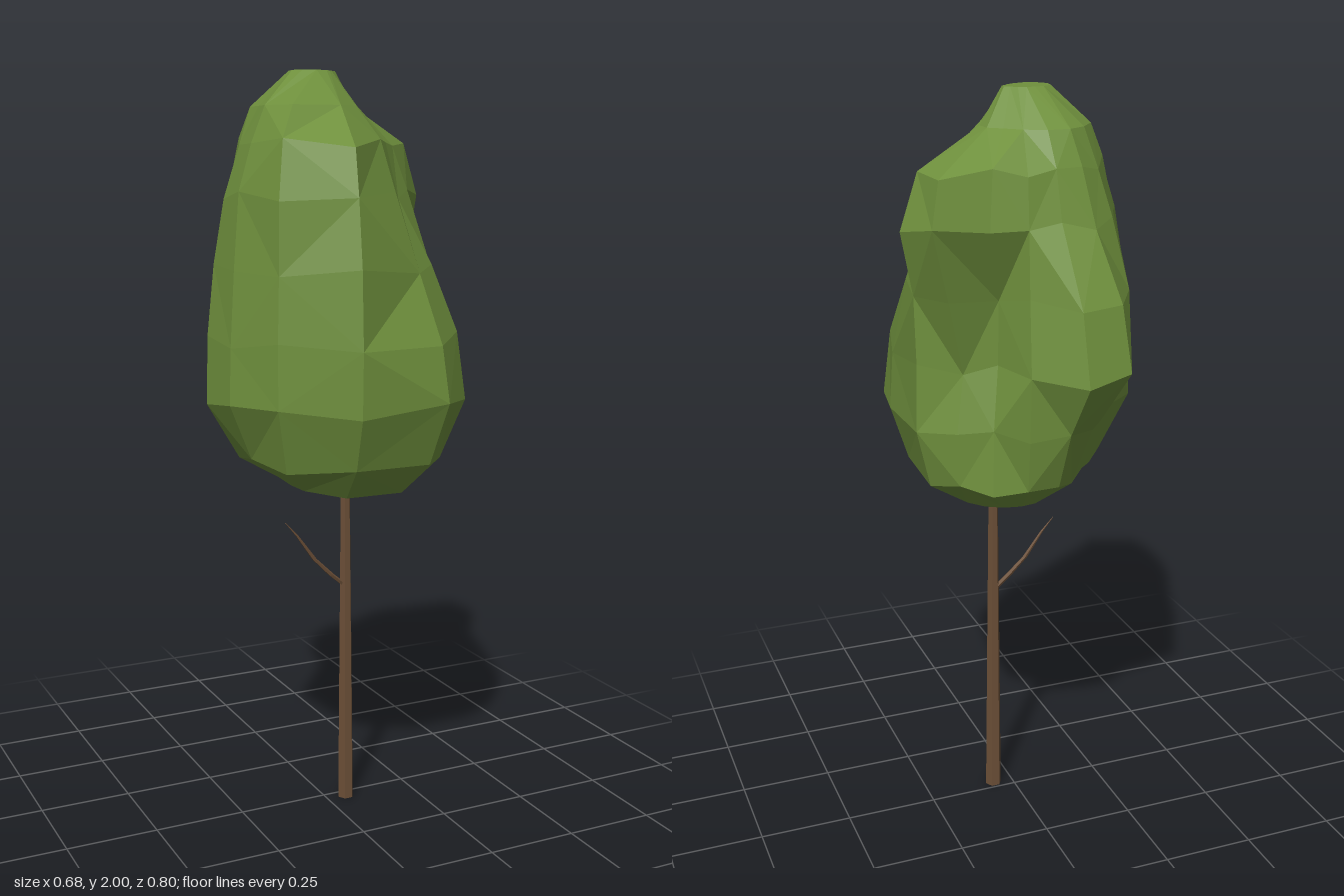
import * as THREE from 'three';

// Skins a stack of rings (bottom to top) and closes both ends with fans.
function loft(rings, bottom, top) {
  const n = rings[0].length, tris = [];
  for (let i = 0; i < rings.length - 1; i++) {
    for (let j = 0; j < n; j++) {
      const k = (j + 1) % n;
      const a = rings[i][j], b = rings[i][k], c = rings[i + 1][j], d = rings[i + 1][k];
      // alternate the diagonals for an irregular faceted look
      if ((i + j) % 2) tris.push(a, c, b, b, c, d);
      else tris.push(a, c, d, a, d, b);
    }
  }
  const first = rings[0], last = rings[rings.length - 1];
  for (let j = 0; j < n; j++) {
    const k = (j + 1) % n;
    tris.push(bottom, first[j], first[k], top, last[k], last[j]);
  }
  const geometry = new THREE.BufferGeometry().setFromPoints(tris);
  geometry.computeVertexNormals();
  return geometry;
}

// Tapered limb through points [x, y, z, radius].
function limb(points, sides) {
  const rings = points.map(([x, y, z, r]) =>
    Array.from({ length: sides }, (_, j) => {
      const a = (j / sides) * Math.PI * 2;
      return new THREE.Vector3(x + r * Math.cos(a), y, z + r * Math.sin(a));
    }));
  const end = (p) => new THREE.Vector3(p[0], p[1], p[2]);
  return loft(rings, end(points[0]), end(points[points.length - 1]));
}

// Crown: directions in degrees from +x towards +z, closer together at the back lobes.
const ANGLES = [19, 42, 67, 102, 133, 157, 178, 205, 228, 246, 264, 283, 303, 322, 342];
// Each cross-section: height, then the radius in each direction.
const CROWN = [
  [0.93, 0.19, 0.22, 0.27, 0.25, 0.17, 0.13, 0.11, 0.10, 0.10, 0.10, 0.12, 0.13, 0.14, 0.15, 0.16],
  [1.015, 0.285, 0.32, 0.36, 0.35, 0.31, 0.28, 0.25, 0.20, 0.20, 0.21, 0.25, 0.25, 0.26, 0.27, 0.28],
  [1.17, 0.33, 0.385, 0.42, 0.405, 0.37, 0.355, 0.34, 0.26, 0.25, 0.28, 0.31, 0.28, 0.25, 0.28, 0.32],
  [1.33, 0.32, 0.36, 0.395, 0.41, 0.37, 0.35, 0.335, 0.27, 0.33, 0.405, 0.40, 0.30, 0.20, 0.25, 0.315],
  [1.51, 0.28, 0.29, 0.32, 0.395, 0.36, 0.335, 0.315, 0.265, 0.32, 0.37, 0.36, 0.27, 0.19, 0.31, 0.32],
  [1.69, 0.22, 0.20, 0.24, 0.36, 0.355, 0.315, 0.285, 0.25, 0.27, 0.28, 0.25, 0.25, 0.28, 0.375, 0.355],
  [1.82, 0.18, 0.165, 0.19, 0.325, 0.325, 0.27, 0.24, 0.22, 0.23, 0.23, 0.22, 0.23, 0.25, 0.345, 0.30],
  [1.91, 0.07, 0.09, 0.11, 0.18, 0.25, 0.22, 0.185, 0.19, 0.19, 0.19, 0.175, 0.15, 0.13, 0.13, 0.11],
  [2.00, 0.02, 0.02, 0.02, 0.03, 0.06, 0.08, 0.09, 0.09, 0.08, 0.07, 0.065, 0.06, 0.05, 0.05, 0.04],
];

function crownGeometry() {
  const rings = CROWN.map(([y, ...radii], i) => radii.map((r, j) => {
    const a = THREE.MathUtils.degToRad(ANGLES[j]);
    // small height wobble on the wide middle sections
    const wobble = i > 0 && i < 7 ? 0.012 * Math.sin(j * 2.4 + i * 1.7) : 0;
    return new THREE.Vector3(r * Math.cos(a), y + wobble, r * Math.sin(a));
  }));
  return loft(rings, new THREE.Vector3(0.06, 0.895, 0.09), new THREE.Vector3(-0.03, 2, -0.03));
}

export function createModel() {
  const leaf = new THREE.MeshStandardMaterial({ color: 0x6f903d, flatShading: true });
  leaf.name = 'leaf green';
  const bark = new THREE.MeshStandardMaterial({ color: 0x6b4f37, flatShading: true });
  bark.name = 'bark brown';

  const tree = new THREE.Group();
  tree.name = 'tree';
  const add = (name, geometry, material) => {
    const mesh = new THREE.Mesh(geometry, material);
    mesh.name = name;
    tree.add(mesh);
  };

  add('crown', crownGeometry(), leaf);
  add('trunk', limb([[0.056, 0, 0.027, 0.023], [0.053, 0.5, 0.029, 0.018], [0.05, 1.05, 0.03, 0.012]], 6), bark);
  add('branch', limb([
    [0.052, 0.625, 0.028, 0.01], [0.01, 0.66, 0.028, 0.009],
    [-0.04, 0.71, 0.025, 0.007], [-0.09, 0.78, 0.024, 0.004], [-0.124, 0.82, 0.022, 0.001],
  ], 5), bark);
  return tree;
}
